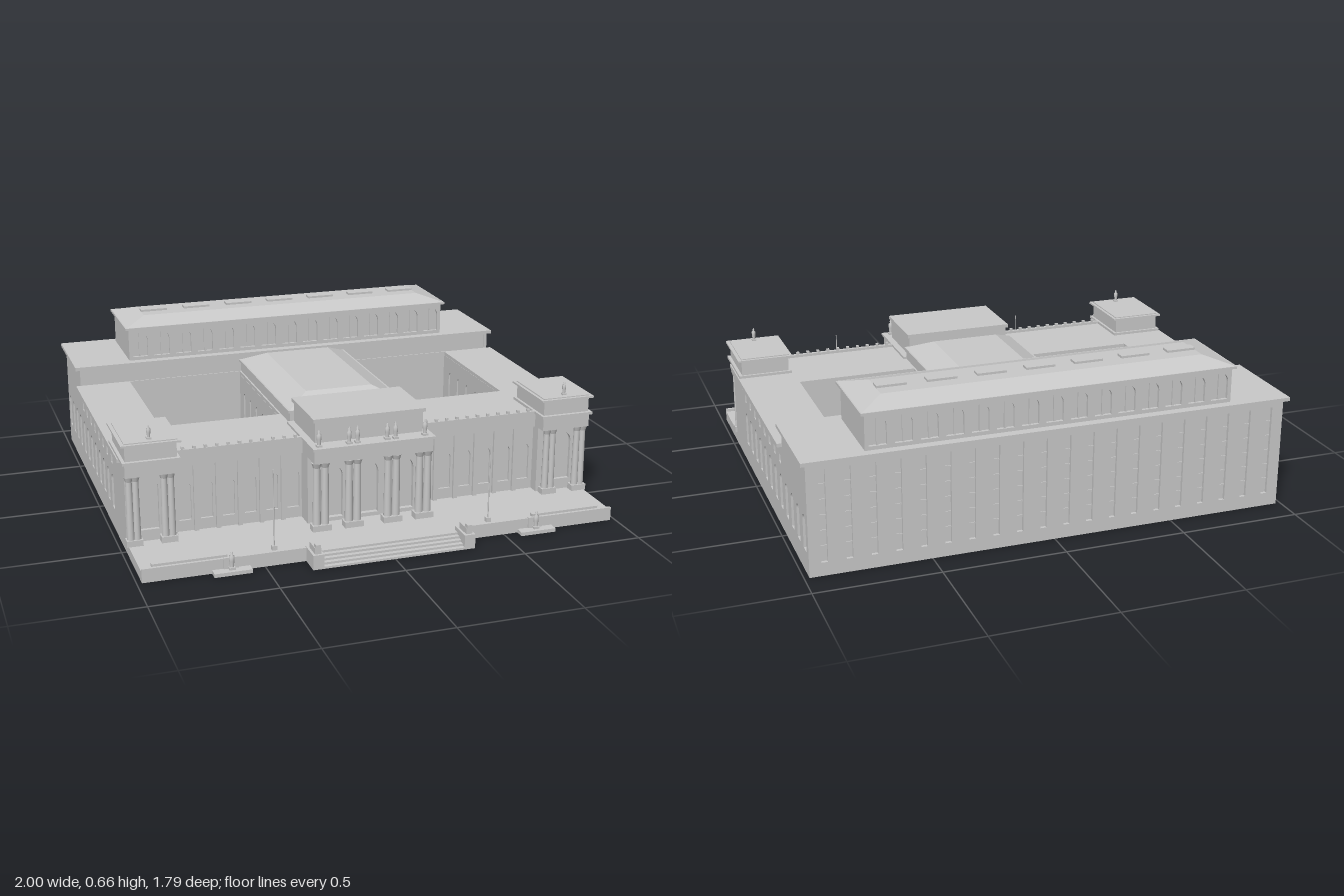
import * as THREE from 'three';

const stone = new THREE.MeshStandardMaterial({ color: 0xc9c9c9, side: THREE.DoubleSide });
stone.name = 'stone';

function add(parent, name, geo) {
  const mesh = new THREE.Mesh(geo, stone);
  mesh.name = name;
  parent.add(mesh);
  return mesh;
}

// Removes the faces lying on the lowest plane, leaving a hollow shell
function openBottom(geo) {
  const g = geo.index ? geo.toNonIndexed() : geo;
  const p = g.attributes.position;
  g.computeBoundingBox();
  const low = g.boundingBox.min.y + 1e-5, keep = [];
  for (let i = 0; i < p.count; i += 3) {
    if (Math.max(p.getY(i), p.getY(i + 1), p.getY(i + 2)) > low) keep.push(i, i + 1, i + 2);
  }
  g.clearGroups();
  g.setIndex(keep);
  return g;
}

function boxGeo(x0, x1, y0, y1, z0, z1) {
  return new THREE.BoxGeometry(x1 - x0, y1 - y0, z1 - z0)
    .translate((x0 + x1) / 2, (y0 + y1) / 2, (z0 + z1) / 2);
}
const box = (parent, name, ...b) => add(parent, name, boxGeo(...b));
const shell = (parent, name, ...b) => add(parent, name, openBottom(boxGeo(...b)));

// Hipped roof with a flat top: base rectangle b, top rectangle t as [x0, x1, z0, z1]
function hipRoof(parent, name, b, t, y0, y1) {
  const g = boxGeo(b[0], b[1], y0, y1, b[2], b[3]), p = g.attributes.position;
  for (let i = 0; i < p.count; i++) {
    if (p.getY(i) < (y0 + y1) / 2) continue;
    p.setX(i, p.getX(i) < (b[0] + b[1]) / 2 ? t[0] : t[1]);
    p.setZ(i, p.getZ(i) < (b[2] + b[3]) / 2 ? t[2] : t[3]);
  }
  g.computeVertexNormals();
  return add(parent, name, g);
}

function rect(path, x0, x1, y0, y1) {
  path.moveTo(x0, y0); path.lineTo(x1, y0); path.lineTo(x1, y1); path.lineTo(x0, y1); path.closePath();
  return path;
}

// Horizontal slab pierced by the two courtyards
function courtPlate(x0, x1, z0, z1, y0, y1, m) {
  const s = rect(new THREE.Shape(), x0, x1, z0, z1);
  for (const c of [-0.505, 0.505]) s.holes.push(rect(new THREE.Path(), c - 0.255 + m, c + 0.255 - m, -0.48, 0.16 - m));
  return new THREE.ExtrudeGeometry(s, { depth: y1 - y0, bevelEnabled: false }).rotateX(Math.PI / 2).translate(0, y1, 0);
}

// Wall skin with window openings [centre, width, bottom, top, arched]
function facade(parent, name, u0, u1, y0, y1, wins, thick, angle, off) {
  const s = rect(new THREE.Shape(), u0, u1, y0, y1);
  for (const [c, w, b, t, arched] of wins) {
    const r = w / 2, h = new THREE.Path();
    if (arched) {
      h.moveTo(c - r, b); h.lineTo(c + r, b); h.lineTo(c + r, t - r);
      h.absarc(c, t - r, r, 0, Math.PI, false); h.closePath();
    } else rect(h, c - r, c + r, b, t);
    s.holes.push(h);
  }
  const g = new THREE.ExtrudeGeometry(s, { depth: thick, bevelEnabled: false, curveSegments: 8 });
  return add(parent, name, g.translate(0, 0, off).rotateY(angle));
}
const row = (n, start, step, ...w) => Array.from({ length: n }, (_, i) => [start + i * step, ...w]);

function column(parent, x, y0, y1, z, r) {
  const g = new THREE.Group();
  g.name = 'column';
  parent.add(g);
  box(g, 'pedestal', x - r * 1.3, x + r * 1.3, y0, y0 + 0.025, z - r * 1.3, z + r * 1.3);
  add(g, 'shaft', new THREE.CylinderGeometry(r * 0.85, r, y1 - y0 - 0.045, 12).translate(x, (y0 + y1 + 0.005) / 2, z));
  add(g, 'capital', new THREE.CylinderGeometry(r * 1.3, r * 0.9, 0.02, 8).translate(x, y1 - 0.01, z));
}

function statue(parent, x, y, z, h) {
  const pts = [[0.14, 0.1], [0.1, 0.15], [0.14, 0.45], [0.15, 0.7], [0.05, 0.8], [0.08, 0.9], [0, 1]];
  const g = new THREE.Group(), r = h * 0.16;
  g.name = 'statue';
  parent.add(g);
  box(g, 'statueBase', x - r, x + r, y, y + h * 0.12, z - r, z + r);
  add(g, 'figure', new THREE.LatheGeometry(pts.map(([a, t]) => new THREE.Vector2(a * h, t * h)), 8).translate(x, y, z));
}

export function createModel() {
  const root = new THREE.Group();
  root.name = 'libraryBuilding';
  const part = (name) => { const g = new THREE.Group(); g.name = name; root.add(g); return g; };
  const Q = Math.PI / 2, deck = 0.044;

  // Main body around two courtyards
  const body = part('mainBody');
  add(body, 'bodyWalls', openBottom(courtPlate(-0.967, 0.967, -0.49, 0.458, 0, 0.37, -0.005)));
  add(body, 'wingEaves', courtPlate(-1, 1, -0.485, 0.485, 0.37, 0.385, 0));
  for (const s of [-1, 1]) {
    const c = s * 0.505;
    box(body, 'courtyardFloor', c - 0.26, c + 0.26, deck - 0.004, deck, -0.485, 0.165);
    const slots = (start) => row(6, start, 0.1, 0.03, 0.1, 0.3, true);
    facade(body, 'hallCourtWall', -0.16, 0.48, deck, 0.37, slots(-0.1), 0.008, Q, 0.243).scale.x = s;
    facade(body, 'wingCourtWall', -0.48, 0.16, deck, 0.37, slots(-0.4), 0.008, -Q, -0.767).scale.x = s;
  }

  // Side walls: arched windows below, small square ones above
  for (const d of [-1, 1]) {
    const a = -d * Q;
    const arches = row(12, d * 0.25, -d * 0.0977, 0.045, 0.09, 0.235, true);
    const squares = row(8, d * 0.25, -d * 0.0977, 0.034, 0.285, 0.32, false);
    const span = (z0, z1) => (d > 0 ? [z0, z1] : [-z1, -z0]);
    facade(body, 'wingSideWall', ...span(-0.485, 0.515), 0, 0.37, [...arches.slice(0, 8), ...squares], 0.013, a, 0.967);
    facade(body, 'backSideWall', ...span(-0.88, -0.485), 0, 0.455, arches.slice(8), 0.013, a, 0.967);
  }

  // Tall back block with slot windows
  const back = part('backBlock');
  shell(back, 'backWalls', -0.967, 0.967, 0, 0.455, -0.867, -0.49);
  facade(back, 'backFacade', -0.98, 0.98, 0, 0.455, row(20, -0.92, 0.0968, 0.026, 0.055, 0.43, false), 0.013, Math.PI, 0.867);
  for (let i = 0; i < 20; i++) for (let j = 1; j < 6; j++) {
    const x = -0.92 + i * 0.0968, y = 0.055 + j * 0.0625;
    box(back, 'windowBar', x - 0.013, x + 0.013, y - 0.003, y + 0.003, -0.871, -0.866);
  }
  box(back, 'backEaves', -1, 1, 0.455, 0.47, -0.897, -0.482);

  // Clerestory reading room
  const upper = part('clerestory');
  shell(upper, 'clerestoryWalls', -0.75, 0.75, 0.47, 0.615, -0.847, -0.533);
  const long = row(15, -0.7, 0.1, 0.07, 0.485, 0.595, true);
  facade(upper, 'frontArcade', -0.75, 0.75, 0.47, 0.615, long, 0.013, 0, -0.533);
  facade(upper, 'backArcade', -0.75, 0.75, 0.47, 0.615, long, 0.013, Math.PI, 0.847);
  for (const [x] of long) for (const z of [-0.53, -0.85]) box(upper, 'mullion', x - 0.004, x + 0.004, 0.485, 0.594, z - 0.004, z + 0.004);
  box(upper, 'clerestoryEaves', -0.765, 0.765, 0.612, 0.622, -0.872, -0.508);
  hipRoof(upper, 'clerestoryRoof', [-0.76, 0.76, -0.868, -0.512], [-0.66, 0.66, -0.77, -0.61], 0.622, 0.651);
  for (let i = -3; i <= 3; i++) box(upper, 'skylight', i * 0.2 - 0.06, i * 0.2 + 0.06, 0.648, 0.66, -0.711, -0.669);

  // Central hall between the courtyards
  const hall = part('centralHall');
  box(hall, 'hallWalls', -0.243, 0.243, 0.385, 0.43, -0.485, 0.29);
  box(hall, 'hallEaves', -0.252, 0.252, 0.43, 0.441, -0.485, 0.295);
  hipRoof(hall, 'hallRoof', [-0.245, 0.245, -0.48, 0.29], [-0.145, 0.145, -0.395, 0.195], 0.441, 0.487);

  // Entrance portico
  const portico = part('portico');
  shell(portico, 'porticoWalls', -0.25, 0.25, 0, 0.33, 0.45, 0.53);
  facade(portico, 'porticoArches', -0.25, 0.25, 0, 0.33, row(3, -0.152, 0.152, 0.1, 0.06, 0.285, true), 0.02, 0, 0.53);
  box(portico, 'entablature', -0.25, 0.25, 0.33, 0.386, 0.29, 0.638);
  box(portico, 'cornice', -0.257, 0.257, 0.386, 0.396, 0.29, 0.65);
  box(portico, 'attic', -0.228, 0.228, 0.396, 0.482, 0.296, 0.577);
  box(portico, 'atticCap', -0.237, 0.237, 0.482, 0.497, 0.288, 0.586);
  for (const x of [0.065, 0.1, 0.2, 0.235]) for (const s of [-1, 1]) column(portico, s * x, deck, 0.33, 0.62, 0.017);
  for (const x of [-0.225, -0.1, -0.065, 0.06, 0.095, 0.22]) statue(portico, x, 0.396, 0.62, 0.07);

  // Front wings, corner pavilions and terrace furniture, mirrored
  for (const s of [-1, 1]) {
    const m = (x0, x1) => (s > 0 ? [x0, x1] : [-x1, -x0]);
    const wing = part('frontWing');
    const xs = [0.285, 0.375, 0.465, 0.555, 0.645, 0.733];
    facade(wing, 'wingFacade', ...m(0.25, 0.775), 0, 0.37, xs.map((x) => [s * x, 0.05, 0.09, 0.25, true]), 0.01, 0, 0.458);
    for (let i = 0; i < 5; i++) {
      const x = s * (0.33 + i * 0.09);
      box(wing, 'pilaster', x - 0.009, x + 0.009, deck, 0.325, 0.465, 0.48);
    }
    box(wing, 'wingFrieze', ...m(0.25, 0.775), 0.325, 0.37, 0.46, 0.483);
    box(wing, 'wingParapet', ...m(0.25, 0.775), 0.385, 0.396, 0.474, 0.49);
    for (let i = 0; i < 11; i++) {
      const x = s * (0.28 + i * 0.046);
      box(wing, 'roofOrnament', x - 0.006, x + 0.006, 0.396, 0.407, 0.476, 0.488);
    }

    const pav = part('cornerPavilion');
    shell(pav, 'pavilionWalls', ...m(0.775, 0.967), 0, 0.33, 0.45, 0.5);
    facade(pav, 'pavilionArch', ...m(0.775, 0.98), 0, 0.33, [[s * 0.888, 0.08, 0.09, 0.3, true]], 0.015, 0, 0.5);
    box(pav, 'entablature', ...m(0.775, 0.985), 0.33, 0.385, 0.29, 0.56);
    box(pav, 'cornice', ...m(0.767, 0.995), 0.385, 0.396, 0.282, 0.57);
    box(pav, 'attic', ...m(0.778, 0.982), 0.396, 0.458, 0.292, 0.555);
    box(pav, 'atticCap', ...m(0.762, 0.998), 0.458, 0.466, 0.278, 0.57);
    box(pav, 'atticRoof', ...m(0.775, 0.983), 0.466, 0.47, 0.29, 0.557);
    for (const x of [0.803, 0.83, 0.942, 0.968]) column(pav, s * x, deck, 0.33, 0.54, 0.015);
    statue(pav, s * 0.88, 0.47, 0.525, 0.057);

    const yard = part('terraceSide');
    box(yard, 'terraceWall', ...m(0.33, 0.98), deck, 0.056, 0.788, 0.8);
    box(yard, 'bench', ...m(0.64, 0.935), deck, 0.056, 0.747, 0.767);
    box(yard, 'flagpoleBase', ...m(0.44, 0.46), deck, 0.062, 0.74, 0.76);
    add(yard, 'flagpole', new THREE.CylinderGeometry(0.002, 0.003, 0.315, 8).translate(s * 0.45, 0.218, 0.75));
    box(yard, 'fountainStep', ...m(0.56, 0.71), 0, 0.015, 0.8, 0.84);
    box(yard, 'fountainBack', ...m(0.605, 0.665), 0.015, 0.06, 0.795, 0.806);
    statue(yard, s * 0.635, 0.015, 0.812, 0.075);
    box(yard, 'stairPier', ...m(0.29, 0.335), 0, 0.06, 0.79, 0.89);
    box(yard, 'pierStatue', ...m(0.3, 0.325), 0.06, 0.085, 0.81, 0.88);
    box(yard, 'pierStatueHead', ...m(0.303, 0.322), 0.085, 0.098, 0.855, 0.882);
  }

  // Terrace and front steps
  const terrace = part('terrace');
  shell(terrace, 'terraceDeck', -0.98, 0.98, 0, deck, 0.46, 0.8);
  for (let i = 0; i < 5; i++) shell(terrace, 'step', -0.29, 0.29, i * deck / 5, (i + 1) * deck / 5, 0.79, 0.89 - i * 0.018);
  return root;
}
